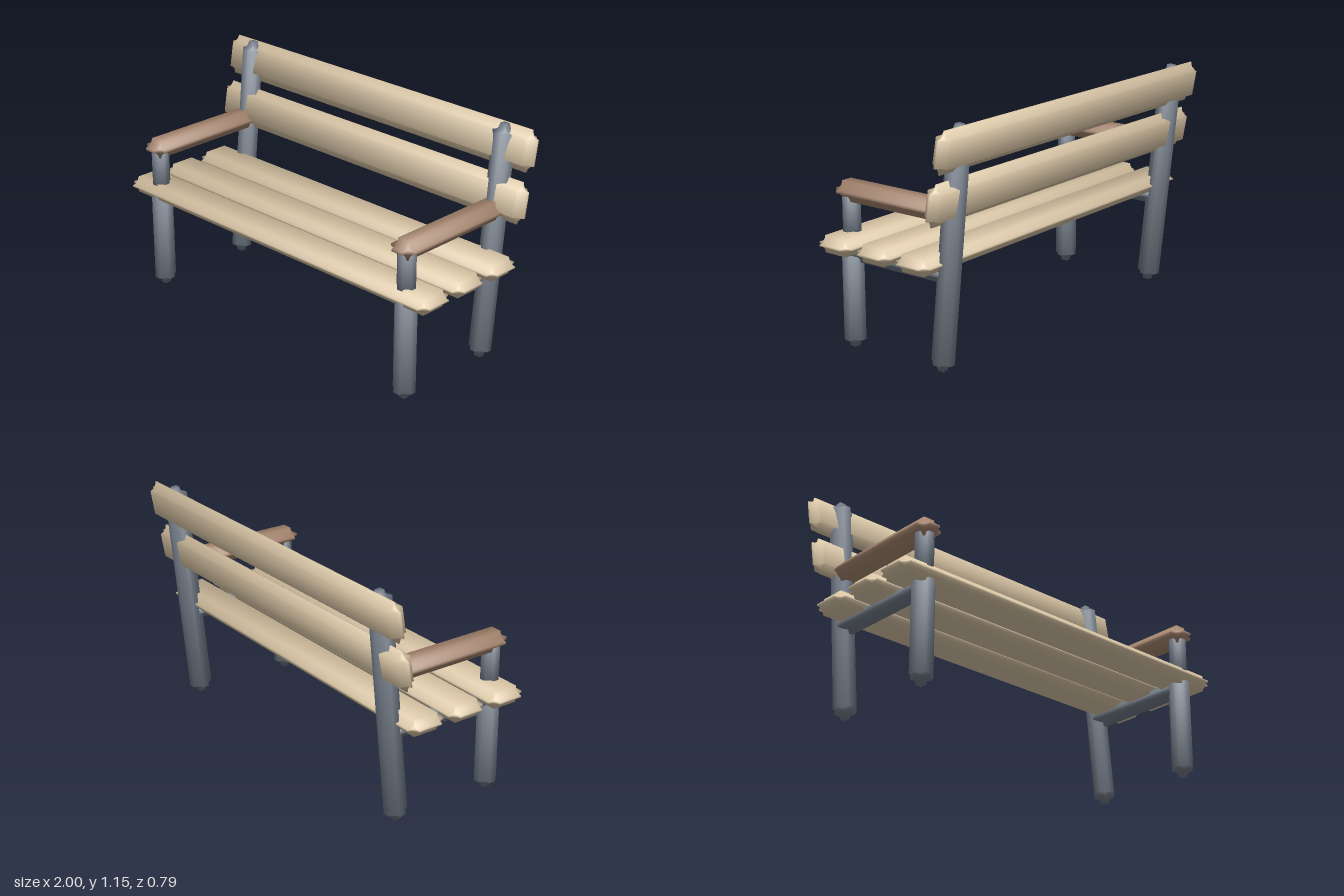
import * as THREE from 'three';

const wood = new THREE.MeshStandardMaterial({ name: 'pale wood', color: 0xd8c4a4 });
const armWood = new THREE.MeshStandardMaterial({ name: 'brown wood', color: 0xa5856e });
const metal = new THREE.MeshStandardMaterial({ name: 'grey metal', color: 0x6f7884 });

const K = 3; // steps across each hollowed edge
const N = 2 * K + 1;

// Box whose edges and corners are hollowed inward by radius r, shaded softly
function coveBox(w, h, d, r) {
  const geo = new THREE.BoxGeometry(2, 2, 2, N, N, N);
  const pos = geo.attributes.position;
  const nor = geo.attributes.normal;
  const half = [w / 2, h / 2, d / 2];
  for (let v = 0; v < pos.count; v++) {
    const signs = [];
    const dir = new THREE.Vector3();
    for (let a = 0; a < 3; a++) {
      const i = Math.round((pos.getComponent(v, a) + 1) / 2 * N);
      signs[a] = i <= K ? -1 : 1;
      dir.setComponent(a, i <= K ? (K - i) / K : (i - K - 1) / K);
    }
    dir.normalize();
    const n = new THREE.Vector3();
    for (let a = 0; a < 3; a++) {
      const c = dir.getComponent(a);
      pos.setComponent(v, a, signs[a] * (half[a] - r + r * Math.pow(c, 3.5)));
      n.setComponent(a, signs[a] * (1 + c));
    }
    n.normalize();
    nor.setXYZ(v, n.x, n.y, n.z);
  }
  return geo;
}

export function createModel() {
  const bench = new THREE.Group();
  bench.name = 'bench';

  function add(name, geo, material, x, y, z, tilt = 0) {
    const mesh = new THREE.Mesh(geo, material);
    mesh.name = name;
    mesh.position.set(x, y, z);
    mesh.rotation.x = tilt;
    bench.add(mesh);
  }

  // Seat slats
  const seatSlat = coveBox(2, 0.082, 0.2, 0.037);
  [0.293, 0.062, -0.169].forEach((z, i) => add('seatSlat' + (i + 1), seatSlat, wood, 0, 0.52, z));

  // Leaning backrest slats
  const backSlat = coveBox(2, 0.2, 0.082, 0.037);
  add('lowerBackSlat', backSlat, wood, 0, 0.808, -0.292, -0.17);
  add('upperBackSlat', backSlat, wood, 0, 1.048, -0.341, -0.17);

  // Side frames: legs, seat rail, arm post and armrest
  const frontLeg = coveBox(0.11, 0.53, 0.11, 0.039);
  const rearLeg = coveBox(0.11, 1.153, 0.11, 0.039);
  const rail = coveBox(0.09, 0.091, 0.62, 0.036);
  const post = coveBox(0.09, 0.23, 0.09, 0.031);
  const arm = coveBox(0.14, 0.094, 0.7, 0.041);
  for (const [side, x] of [['left', 0.827], ['right', -0.827]]) {
    add(side + 'FrontLeg', frontLeg, metal, x, 0.265, 0.316);
    add(side + 'RearLeg', rearLeg, metal, x, 0.577, -0.272, -0.1);
    add(side + 'SeatRail', rail, metal, x, 0.463, 0.027);
    add(side + 'ArmPost', post, metal, x, 0.64, 0.317);
    add(side + 'Armrest', arm, armWood, x, 0.75, 0.035);
  }
  return bench;
}
